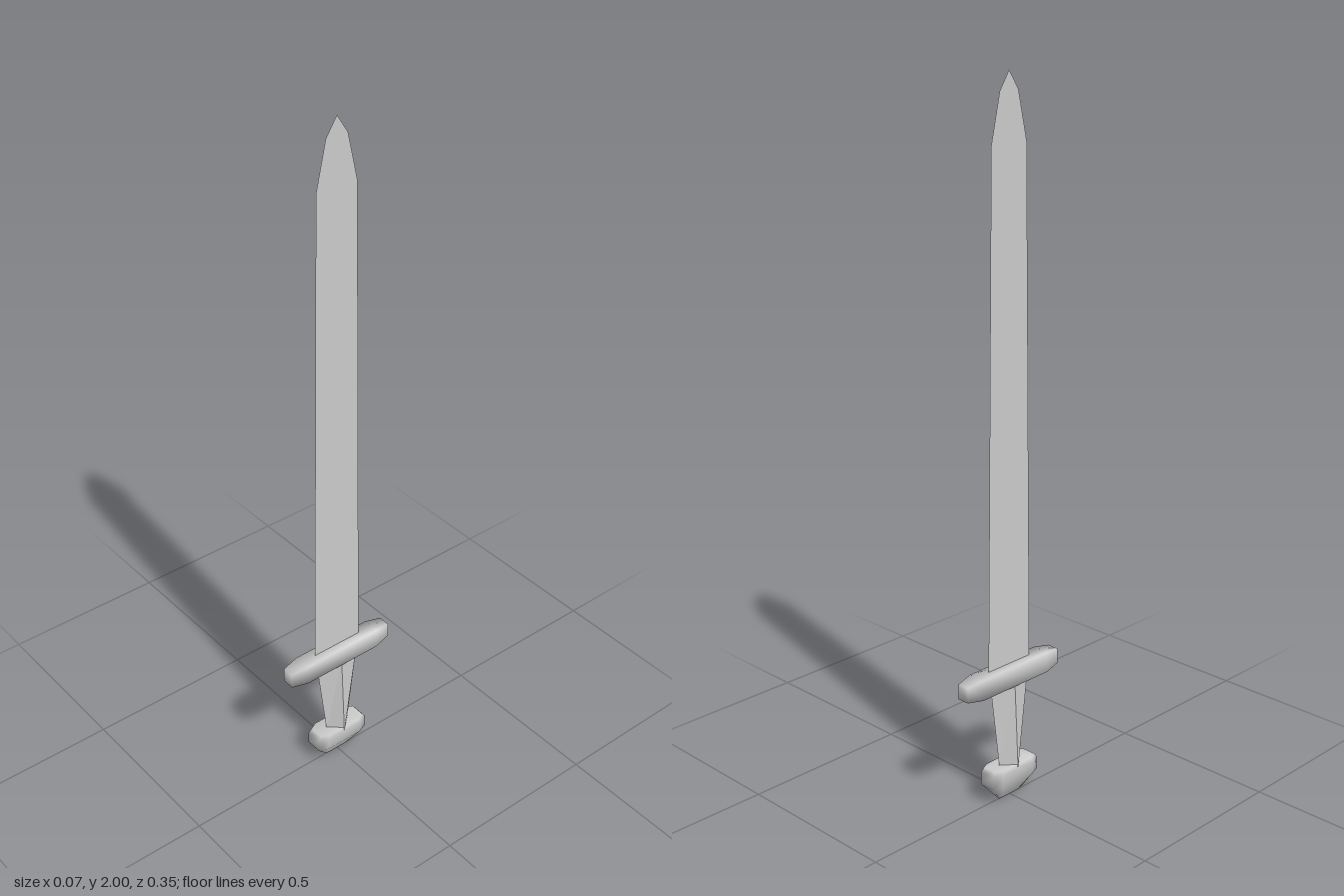
import * as THREE from 'three';

// Skin a stack of equal-length rings of [x, y, z]; both ends are closed.
// Rings run so that their front side faces along the stacking direction.
function loft(rings) {
  const n = rings[0].length, index = [];
  for (let r = 0; r < rings.length - 1; r++) {
    for (let i = 0; i < n; i++) {
      const a = r * n + i, b = r * n + (i + 1) % n;
      index.push(a, b, b + n, a, b + n, a + n);
    }
  }
  const last = (rings.length - 1) * n;
  for (let i = 1; i < n - 1; i++) {
    index.push(0, i + 1, i, last, last + i, last + i + 1);
  }
  const g = new THREE.BufferGeometry();
  g.setAttribute('position', new THREE.Float32BufferAttribute(rings.flat(2), 3));
  g.setIndex(index);
  g.computeVertexNormals();
  return g;
}

export function createModel() {
  const group = new THREE.Group();
  const smooth = new THREE.MeshStandardMaterial({ color: 0xcccccc });
  const flat = new THREE.MeshStandardMaterial({ color: 0xcccccc, flatShading: true });
  const sheet = new THREE.MeshStandardMaterial({ color: 0xcccccc, side: THREE.DoubleSide });
  const add = (name, geometry, material) => {
    const mesh = new THREE.Mesh(geometry, material);
    mesh.name = name;
    group.add(mesh);
  };

  // Blade: a thin flat sheet in the x = 0 plane, tapering to a point
  const edge = [[0.08, 0.37], [0.063, 1.82], [0.033, 1.95]];
  const outline = [...edge, [0, 2], ...edge.map(([z, y]) => [-z, y]).reverse()];
  const blade = new THREE.ShapeGeometry(new THREE.Shape(outline.map(([z, y]) => new THREE.Vector2(z, y))));
  blade.rotateY(-Math.PI / 2);
  add('blade', blade, sheet);

  // Crossguard: soft-shaded bar along z, narrowing at both ends
  const guardRing = (z, w, h) => [[-w, 0.373 - h, z], [w, 0.373 - h, z], [w, 0.373 + h, z], [-w, 0.373 + h, z]];
  add('crossguard', loft([
    guardRing(-0.176, 0.018, 0.022), guardRing(-0.125, 0.026, 0.03),
    guardRing(0.125, 0.026, 0.03), guardRing(0.176, 0.018, 0.022),
  ]), smooth);

  // Grip: diamond section, wide under the guard and thicker at the pommel
  const gripRing = (y, w, d) => [[w, y, 0], [0, y, -d], [-w, y, 0], [0, y, d]];
  add('grip', loft([gripRing(0.09, 0.035, 0.038), gripRing(0.36, 0.022, 0.073)]), flat);

  // Pommel: eight-sided block pinched to a ridge along z at the bottom
  const pommelRing = (y, w, e, d, s) => [
    [w, y, s], [w, y, -s], [e, y, -d], [-e, y, -d],
    [-w, y, -s], [-w, y, s], [-e, y, d], [e, y, d],
  ];
  add('pommel', loft([
    pommelRing(0, 0.002, 0.001, 0.041, 0.03), pommelRing(0.055, 0.035, 0.024, 0.087, 0.06),
    pommelRing(0.092, 0.035, 0.024, 0.087, 0.06), pommelRing(0.104, 0.033, 0.022, 0.078, 0.056),
  ]), smooth);

  return group;
}
